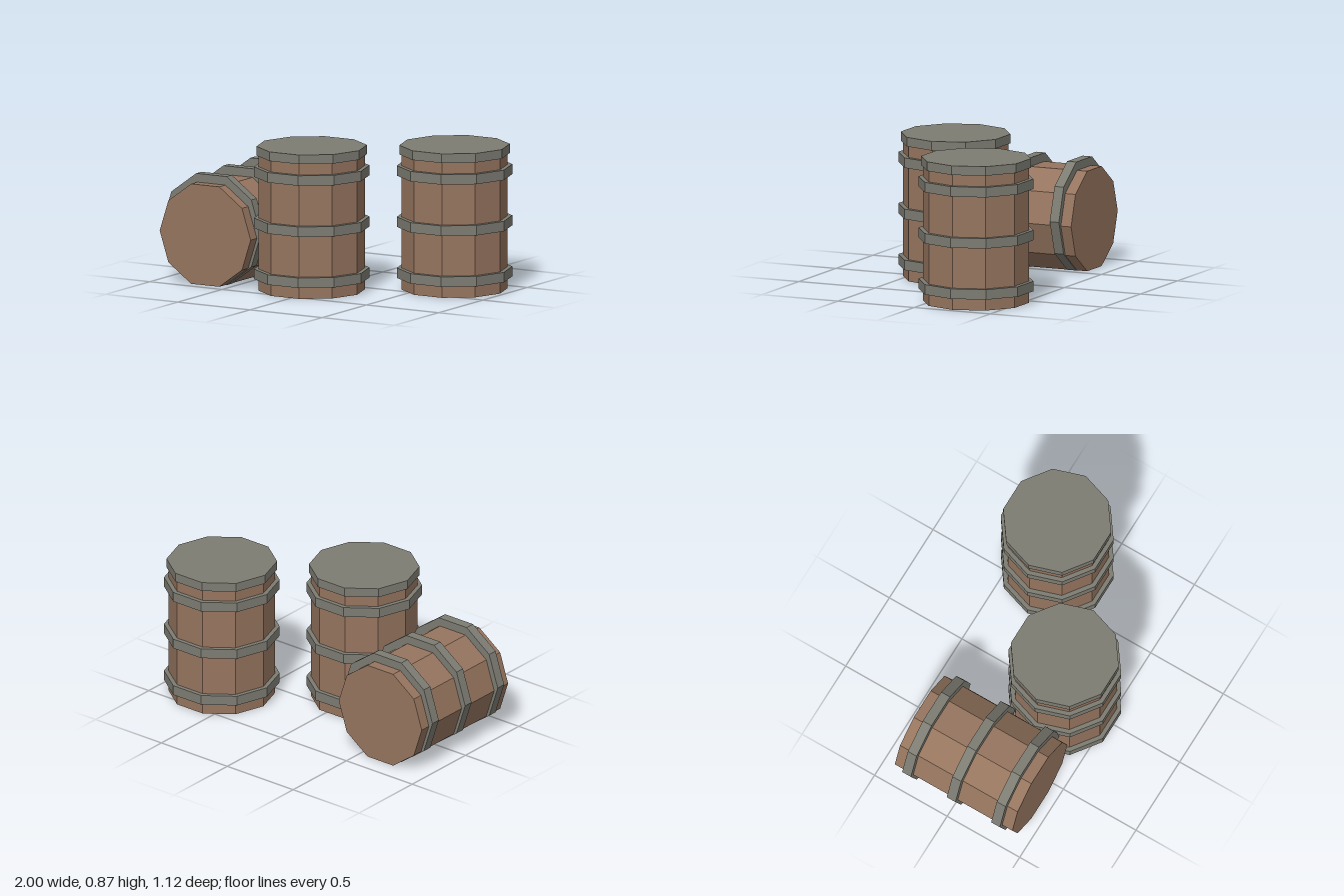
import * as THREE from 'three';

const SIDES = 10;
const wood = new THREE.MeshStandardMaterial({ color: 0x96755f, flatShading: true });
const iron = new THREE.MeshStandardMaterial({ color: 0x7d7c73, flatShading: true });

// Ten-sided drum standing from y0 to y1, with corners on the x axis
function drum(name, radius, y0, y1, material) {
  const geometry = new THREE.CylinderGeometry(radius, radius, y1 - y0, SIDES, 1, false, Math.PI / SIDES);
  const mesh = new THREE.Mesh(geometry, material);
  mesh.name = name;
  mesh.position.y = (y0 + y1) / 2;
  return mesh;
}

function makeBarrel(name, { lid = true, hoopShift = 0 } = {}) {
  const barrel = new THREE.Group();
  barrel.name = name;
  barrel.add(drum('barrelBody', 0.315, 0, 0.81, wood));

  // Three iron hoops
  for (const y of [0.07, 0.376, 0.683]) {
    const hoop = drum('hoop', 0.342, y, y + 0.06, iron);
    hoop.position.z = hoopShift;
    barrel.add(hoop);
  }

  if (lid) barrel.add(drum('lid', 0.327, 0.81, 0.865, iron));
  return barrel;
}

export function createModel() {
  const model = new THREE.Group();
  model.name = 'barrels';

  // Two standing barrels
  const middle = makeBarrel('middleBarrel');
  middle.position.set(-0.042, 0, 0.234);
  const left = makeBarrel('leftBarrel');
  left.position.set(0.657, 0, -0.239);

  // Barrel lying on its side without a lid, its hoops raised flush with the ground
  const lying = makeBarrel('lyingBarrel', { lid: false, hoopShift: 0.026 });
  lying.rotation.x = -Math.PI / 2;
  lying.position.set(-0.658, 0.3, 0.433);

  model.add(middle, left, lying);
  return model;
}
